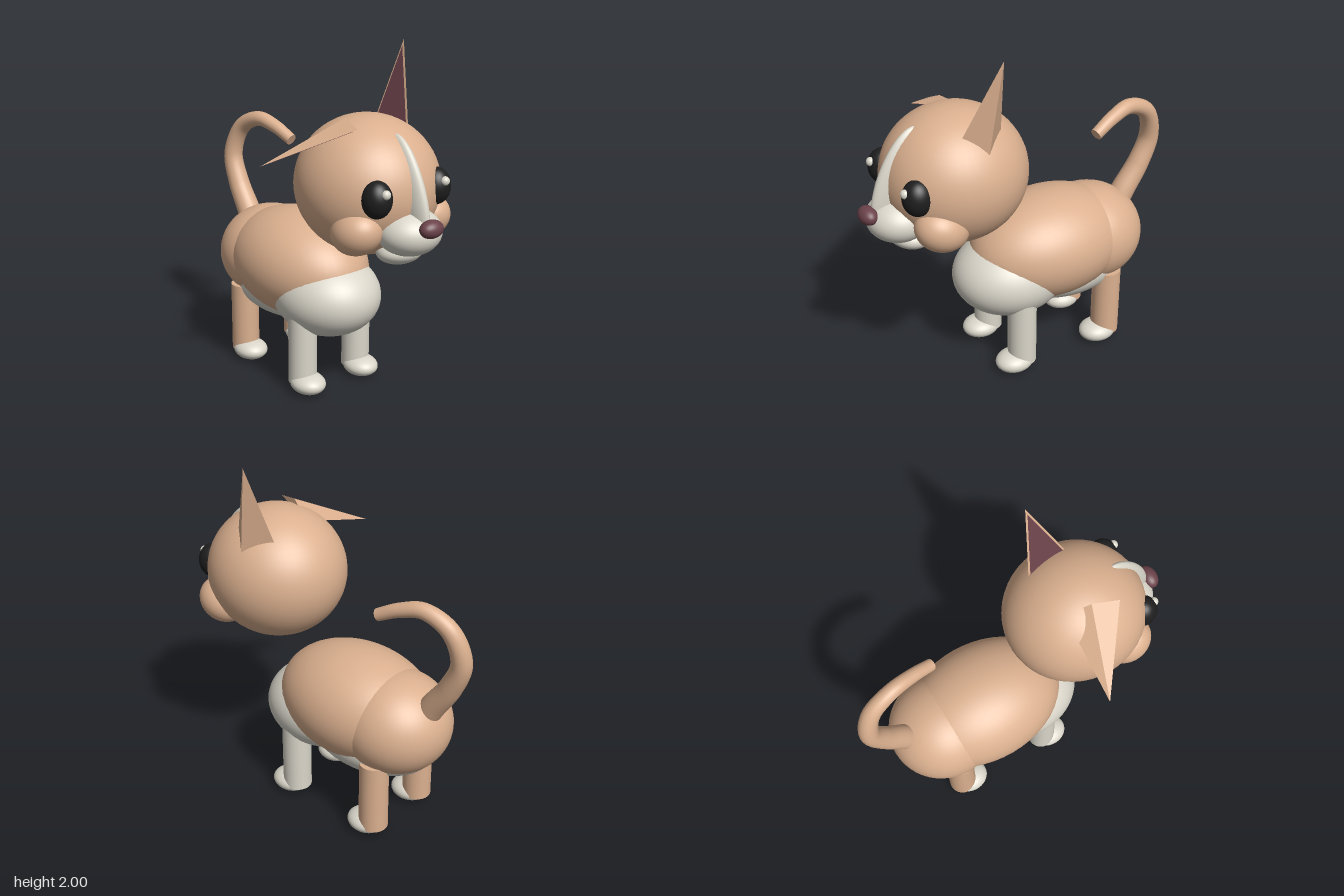
import * as THREE from 'three';
import { ConvexGeometry } from 'three/addons/geometries/ConvexGeometry.js';

const mat = (name, color, side = THREE.FrontSide) => {
  const m = new THREE.MeshStandardMaterial({ color, side });
  m.name = name;
  return m;
};

export function createModel() {
  const tan = mat('tan fur', 0xdbb08f);
  const cream = mat('cream fur', 0xdad6ca);
  const black = mat('eye black', 0x1e1e1e);
  const mauve = mat('mauve skin', 0x6b424a, THREE.DoubleSide);

  const model = new THREE.Group();
  model.name = 'dog';
  // The animal looks along +x; its middle plane sits a little behind z = 0
  const dog = new THREE.Group();
  dog.name = 'dogBody';
  dog.position.z = -0.1;
  model.add(dog);

  const add = (name, geometry, material, pos = [0, 0, 0]) => {
    const m = new THREE.Mesh(geometry, material);
    m.name = name;
    m.position.set(...pos);
    dog.add(m);
    return m;
  };
  // Ellipsoid, optionally tilted in the xy plane
  const blob = (name, material, pos, radii, tilt = 0) => {
    const m = add(name, new THREE.SphereGeometry(1, 48, 32), material, pos);
    m.scale.set(...radii);
    m.rotation.z = tilt;
    return m;
  };

  // Torso
  blob('torso', tan, [-0.2, 0.67, 0], [0.485, 0.315, 0.35]);
  blob('rump', tan, [-0.47, 0.65, 0], [0.32, 0.285, 0.31]);
  blob('chest', cream, [0.055, 0.55, 0], [0.34, 0.24, 0.3]);
  blob('belly', cream, [-0.31, 0.5, 0], [0.4, 0.187, 0.27]);

  // Head
  blob('head', tan, [0.4, 1.285, 0], [0.4, 0.375, 0.385]);
  blob('muzzle', cream, [0.735, 1.11, 0], [0.17, 0.125, 0.175]);
  blob('chin', cream, [0.67, 0.985, 0], [0.117, 0.068, 0.13], 0.12);
  blob('nose', mauve, [0.9, 1.165, 0], [0.05, 0.048, 0.07]);
  blob('blaze', cream, [0.72, 1.32, 0], [0.12, 0.3, 0.05], 0.41);

  // Mirrored parts
  for (const s of [1, -1]) {
    const side = s > 0 ? 'Near' : 'Far';
    blob('cheek' + side, tan, [0.6, 1.115, s * 0.235], [0.148, 0.122, 0.13], 0.35);
    blob('eye' + side, black, [0.71, 1.31, s * 0.2], [0.083, 0.1, 0.08]);
    blob('eyeGlint' + side, cream, [0.78, 1.35, s * 0.2], [0.024, 0.025, 0.025]);

    for (const [part, x, material] of [['front', 0.092, cream], ['hind', -0.485, tan]]) {
      const leg = new THREE.CylinderGeometry(0.082, 0.082, 0.42, 32);
      add(part + 'Leg' + side, leg, material, [x, 0.27, s * 0.195]);
      blob(part + 'Paw' + side, cream, [x + 0.05, 0.065, s * 0.195], [0.112, 0.06, 0.097]);
    }
  }

  // Tail: tube thinned toward the tip, closed by a disc
  const path = new THREE.CatmullRomCurve3([
    [-0.67, 0.77, 0], [-0.72, 0.85, 0], [-0.82, 1.0, 0], [-0.882, 1.17, -0.005],
    [-0.825, 1.345, -0.035], [-0.68, 1.418, -0.062], [-0.55, 1.39, -0.09], [-0.425, 1.33, -0.115],
  ].map((p) => new THREE.Vector3(...p)));
  const rings = 60, sides = 24;
  const tail = new THREE.TubeGeometry(path, rings, 0.073, sides, false);
  const pos = tail.attributes.position, v = new THREE.Vector3();
  for (let i = 0; i <= rings; i++) {
    const c = path.getPointAt(i / rings);
    const k = 1 - 0.53 * (i / rings);
    for (let j = 0; j <= sides; j++) {
      const n = i * (sides + 1) + j;
      v.fromBufferAttribute(pos, n).sub(c).multiplyScalar(k).add(c);
      pos.setXYZ(n, v.x, v.y, v.z);
    }
  }
  add('tail', tail, tan);
  const tip = add('tailTip', new THREE.CircleGeometry(0.0343, sides), tan, path.getPointAt(1).toArray());
  tip.quaternion.setFromUnitVectors(new THREE.Vector3(0, 0, 1), path.getTangentAt(1));

  // Ears: pyramids with a dark plate on the inner face (a, b, tip)
  const ear = (name, corners) => {
    const [a, b, ridge, top] = corners.map((p) => new THREE.Vector3(...p));
    add(name, new ConvexGeometry([a, b, ridge, top]), tan);
    const normal = b.clone().sub(a).cross(top.clone().sub(a)).normalize();
    if (normal.dot(ridge.clone().sub(a)) > 0) normal.negate();
    const mid = a.clone().add(b).add(top).divideScalar(3);
    const plate = [a, b, top].map((p) => p.clone().lerp(mid, 0.12).addScaledVector(normal, 0.004));
    const g = new THREE.BufferGeometry().setFromPoints(plate);
    // Wind the plate so that it faces outward
    const n = plate[1].clone().sub(plate[0]).cross(plate[2].clone().sub(plate[0]));
    g.setIndex(n.dot(normal) > 0 ? [0, 1, 2] : [0, 2, 1]);
    g.computeVertexNormals();
    add(name + 'Inside', g, mauve);
  };
  ear('uprightEar', [[0.22, 1.52, -0.18], [0.475, 1.56, -0.215], [0.36, 1.5, -0.31], [0.29, 2, -0.335]]);
  ear('foldedEar', [[0.265, 1.58, 0.095], [0.54, 1.63, 0.19], [0.395, 1.66, 0.145], [0.245, 1.44, 0.58]]);

  return model;
}
